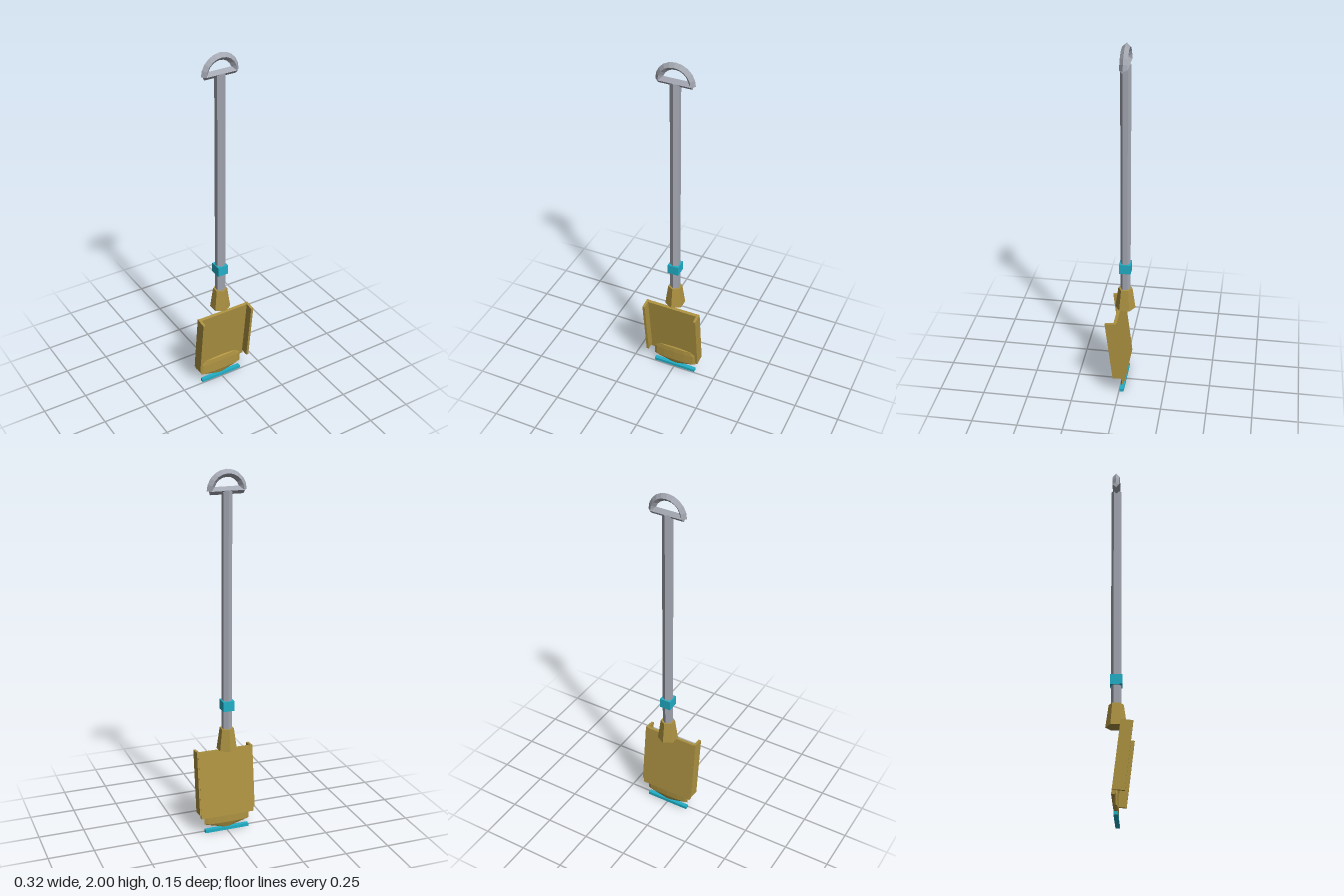
import * as THREE from 'three';

export function createModel() {
  const model = new THREE.Group();
  model.name = 'shovel';

  const material = (name, color) => {
    const m = new THREE.MeshStandardMaterial({ color, flatShading: true });
    m.name = name;
    return m;
  };
  const steel = material('grey steel', 0xa4a8b2);
  const brass = material('dull brass', 0xae9342);
  const teal = material('teal accent', 0x22b0c8);

  const AXIS_Z = -0.018; // the shaft sits slightly behind the centre
  const add = (name, geometry, mat, x, y, z = AXIS_Z, parent = model) => {
    const mesh = new THREE.Mesh(geometry, mat);
    mesh.name = name;
    mesh.position.set(x, y, z);
    parent.add(mesh);
    return mesh;
  };

  // Six-sided shaft and the flared socket at its foot
  add('shaft', new THREE.CylinderGeometry(0.028, 0.028, 1.345, 6), steel, 0, 1.2225);
  add('socket', new THREE.CylinderGeometry(0.039, 0.056, 0.122, 6), brass, 0, 0.55);
  add('shaftBand', new THREE.BoxGeometry(0.062, 0.055, 0.064), teal, 0, 0.743);

  // D-shaped grip: half ring and crossbar, both with a diamond section
  add('gripArch', new THREE.TorusGeometry(0.087, 0.02, 4, 10, Math.PI), steel, 0, 1.893);
  const bar = new THREE.CylinderGeometry(0.02, 0.02, 0.18, 4).rotateZ(Math.PI / 2);
  add('gripBar', bar, steel, 0, 1.893);

  // Blade leaning forward at the top, with raised side rims
  const TILT = 0.12;
  add('bladePlate', new THREE.BoxGeometry(0.306, 0.38, 0.018), brass, 0, 0.2825, -0.005).rotation.x = TILT;
  for (const side of [-1, 1]) {
    const name = side > 0 ? 'leftRim' : 'rightRim';
    add(name, new THREE.BoxGeometry(0.014, 0.36, 0.063), brass, side * 0.154, 0.2925, 0.02).rotation.x = TILT;
  }

  // Flattened, pointed blade tip
  const profile = [[0, 0.013], [0.131, 0.05], [0.131, 0.11], [0.108, 0.138], [0, 0.15]]
    .map(([r, y]) => new THREE.Vector2(r, y));
  const tip = new THREE.LatheGeometry(profile, 12).scale(1, 1, 0.1);
  add('bladeTip', tip, brass, 0, 0, -0.017);

  // Cutting edge strip along the bottom
  add('cuttingEdge', new THREE.BoxGeometry(0.252, 0.018, 0.022), teal, 0, 0.009, -0.015);

  return model;
}
